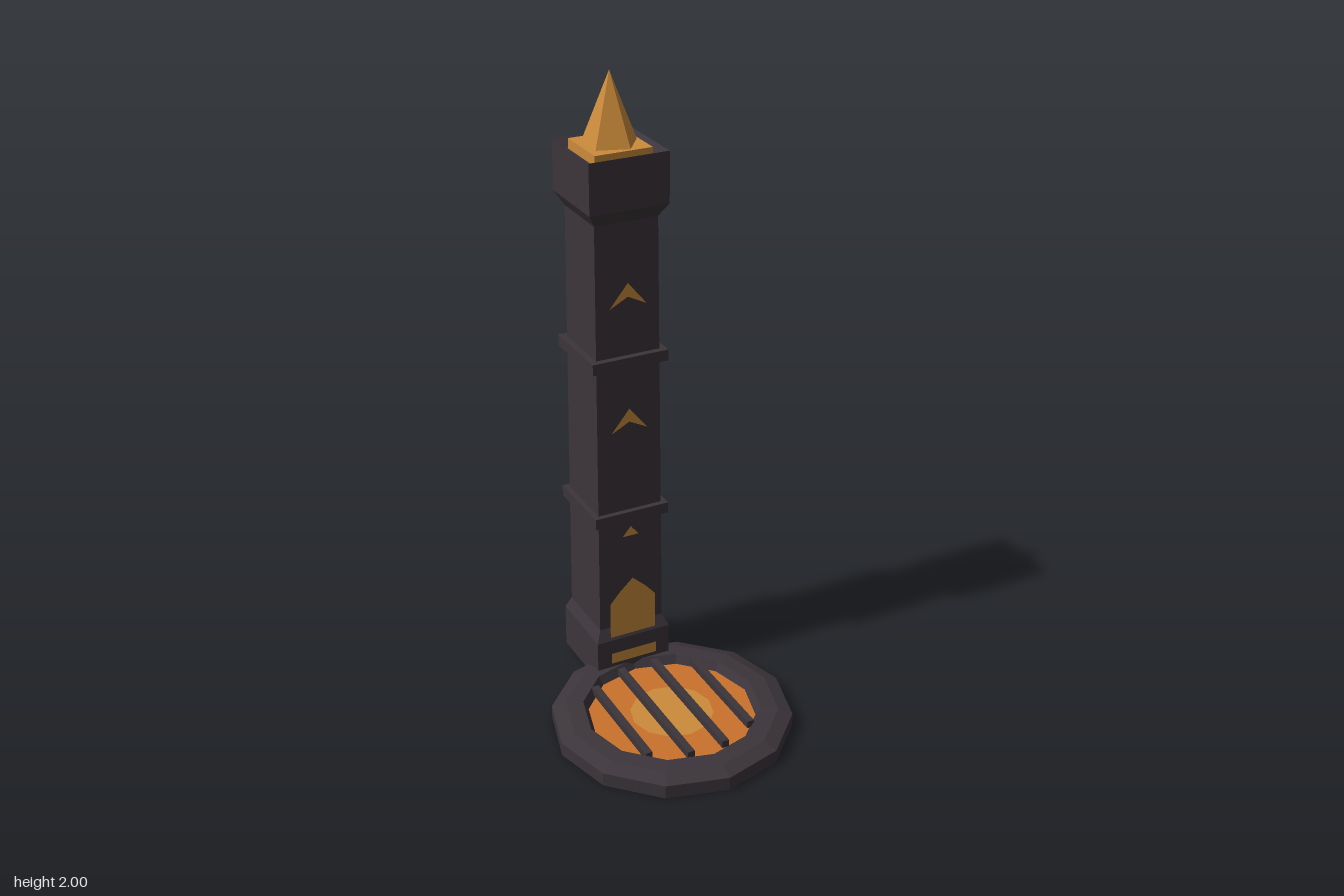
import * as THREE from 'three';

const TOWER_Z = -0.327, DISC_Z = 0.073;

export function createModel() {
  const model = new THREE.Group();
  model.name = 'towerWithGrate';

  const material = (name, color, side = THREE.FrontSide) => {
    const m = new THREE.MeshStandardMaterial({ color, flatShading: true, side });
    m.name = name;
    return m;
  };
  const stone = material('darkStone', 0x3c353b);
  const gold = material('gold', 0xcc8c3b, THREE.DoubleSide);
  const ember = material('emberOrange', 0xcb722d, THREE.DoubleSide);

  const add = (name, geometry, mat, x = 0, y = 0, z = 0) => {
    const mesh = new THREE.Mesh(geometry, mat);
    mesh.name = name;
    mesh.position.set(x, y, z);
    model.add(mesh);
    return mesh;
  };
  const vectors = (points, scale = 1) => points.map(([r, y]) => new THREE.Vector2(r * scale, y));
  // Square section turned from a half-width profile
  const squareLathe = (points) => new THREE.LatheGeometry(vectors(points, Math.SQRT2), 4, Math.PI / 4);
  const plate = (points) => new THREE.ShapeGeometry(new THREE.Shape(vectors(points)));

  // Tower: flared foot, tapering shaft, flared head with a sunken top
  add('tower', squareLathe([
    [0, 0.02], [0.128, 0.02], [0.128, 0.165], [0.111, 0.205],
    [0.103, 1.58], [0.128, 1.622], [0.128, 1.78], [0.1, 1.755], [0, 1.755],
  ]), stone, 0, 0, TOWER_Z);

  // Bands around the shaft
  for (const y of [0.608, 1.138]) {
    add('shaftBand', new THREE.BoxGeometry(0.252, 0.036, 0.252), stone, 0, y, TOWER_Z);
  }

  // Gold bed and five-sided spike
  add('spikeBed', new THREE.BoxGeometry(0.184, 0.032, 0.184), gold, 0, 1.77, TOWER_Z);
  add('spike', new THREE.ConeGeometry(0.086, 0.215, 5, 1, false, Math.PI / 2), gold, 0, 1.8925, TOWER_Z);

  // Glowing doorway, sill and arrow marks on the front
  add('doorway', plate([
    [-0.08, 0.167], [0.08, 0.167], [0.08, 0.3], [0.045, 0.34],
    [0, 0.381], [-0.045, 0.34], [-0.08, 0.3],
  ]), gold, 0, 0, -0.203);
  add('doorSill', plate([[-0.08, 0.078], [0.08, 0.078], [0.08, 0.116], [-0.08, 0.116]]), gold, 0, 0, -0.197);
  add('smallMark', plate([[-0.028, 0.532], [0.028, 0.532], [0, 0.566]]), gold, 0, 0, -0.214);
  for (const [y, z] of [[0.978, -0.216], [1.39, -0.218]]) {
    add('chevron', plate([[0, 0], [-0.062, -0.076], [0, -0.044], [0.062, -0.076]]), gold, 0, y, z);
  }

  // Twelve-sided rim of the fire pit
  add('pitRim', new THREE.LatheGeometry(vectors([
    [0.263, 0.036], [0.275, 0.03], [0.295, 0], [0.38, 0], [0.38, 0.045],
    [0.335, 0.062], [0.28, 0.065], [0.263, 0.036],
  ]), 12), stone, 0, 0, DISC_Z);

  // Ember floor with a paler glow on both faces
  const disc = (radius) => new THREE.CircleGeometry(radius, 12).rotateX(-Math.PI / 2);
  add('emberFloor', disc(0.268), ember, 0, 0.037, DISC_Z);
  for (const y of [0.034, 0.04]) add('emberGlow', disc(0.132), gold, 0, y, DISC_Z);

  // Grate bars, mirrored about the middle
  for (const side of [-1, 1]) {
    for (const [x, length] of [[0.059, 0.49], [0.176, 0.385]]) {
      add('grateBar', new THREE.BoxGeometry(0.023, 0.024, length), stone, side * x, 0.058, DISC_Z);
    }
  }
  return model;
}
